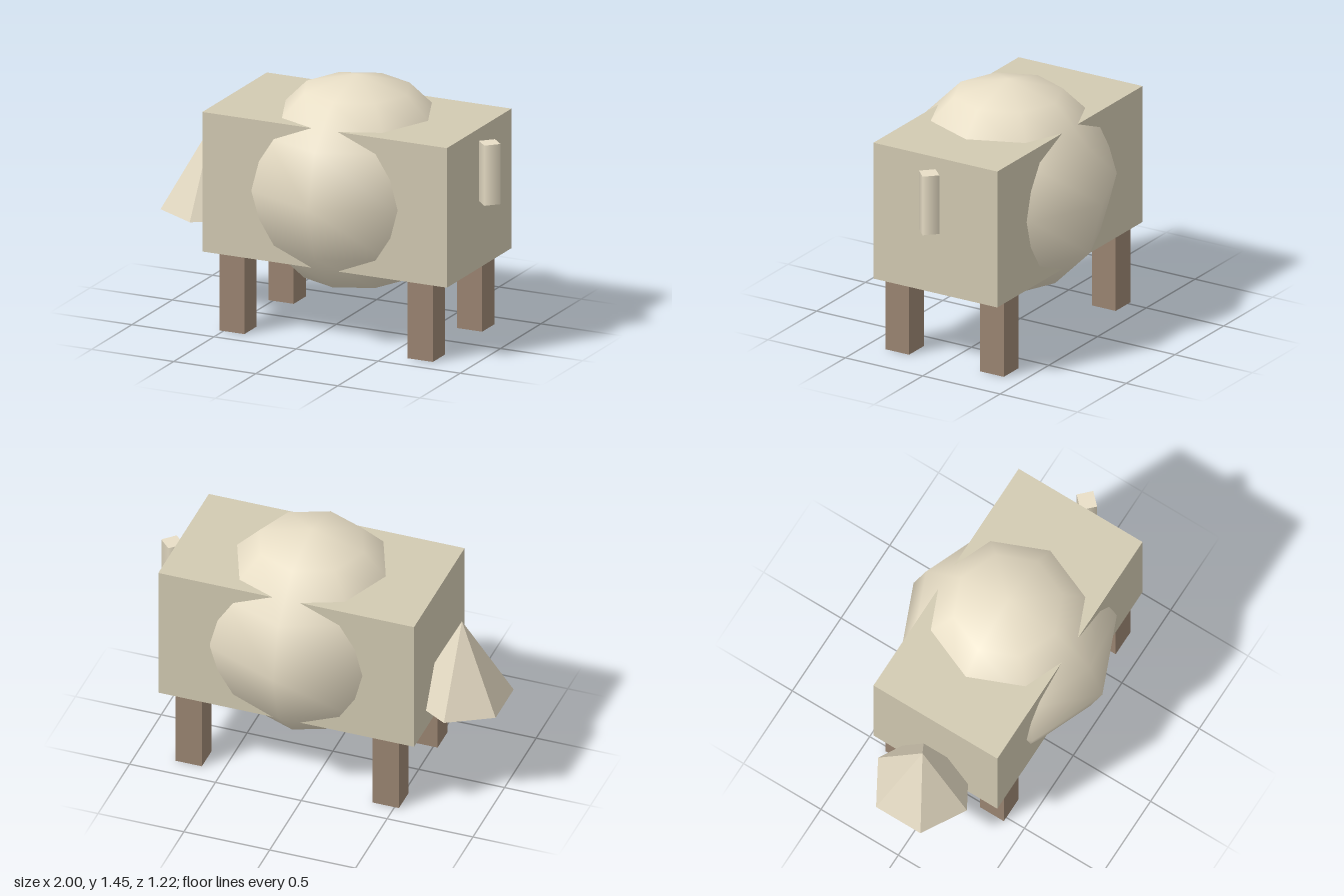
import * as THREE from 'three';

const material = (color, flatShading = false) => {
  const m = new THREE.MeshStandardMaterial({ color });
  m.flatShading = flatShading;
  return m;
};

export function createModel() {
  const model = new THREE.Group();
  model.name = 'sheep';

  const add = (name, geometry, mat, x, y, z) => {
    const mesh = new THREE.Mesh(geometry, mat);
    mesh.name = name;
    mesh.position.set(x, y, z);
    model.add(mesh);
  };

  // Boxy body with a faceted wool ball bulging through it
  add('body', new THREE.BoxGeometry(1.49, 0.8, 0.8), material(0xd2cab2), 0.125, 0.844, 0);
  add('wool', new THREE.SphereGeometry(0.61, 8, 6), material(0xe8dec6), 0.125, 0.844, 0);

  // Six-sided pointed head, partly sunk into the body
  add('head', new THREE.ConeGeometry(0.287, 0.49, 6), material(0xe0d6bf, true), -0.752, 0.806, 0);

  // Four-sided tail with smooth shading
  add('tail', new THREE.CylinderGeometry(0.066, 0.066, 0.345, 4), material(0xe8dec6), 0.934, 1.0, 0);

  // Four square legs
  const legGeometry = new THREE.BoxGeometry(0.153, 0.46, 0.153);
  const legMaterial = material(0x9b8572);
  for (const [end, x] of [['head', -0.449], ['tail', 0.699]]) {
    for (const [side, z] of [['Front', 0.306], ['Back', -0.306]]) {
      add(`${end}${side}Leg`, legGeometry, legMaterial, x, 0.23, z);
    }
  }

  return model;
}
